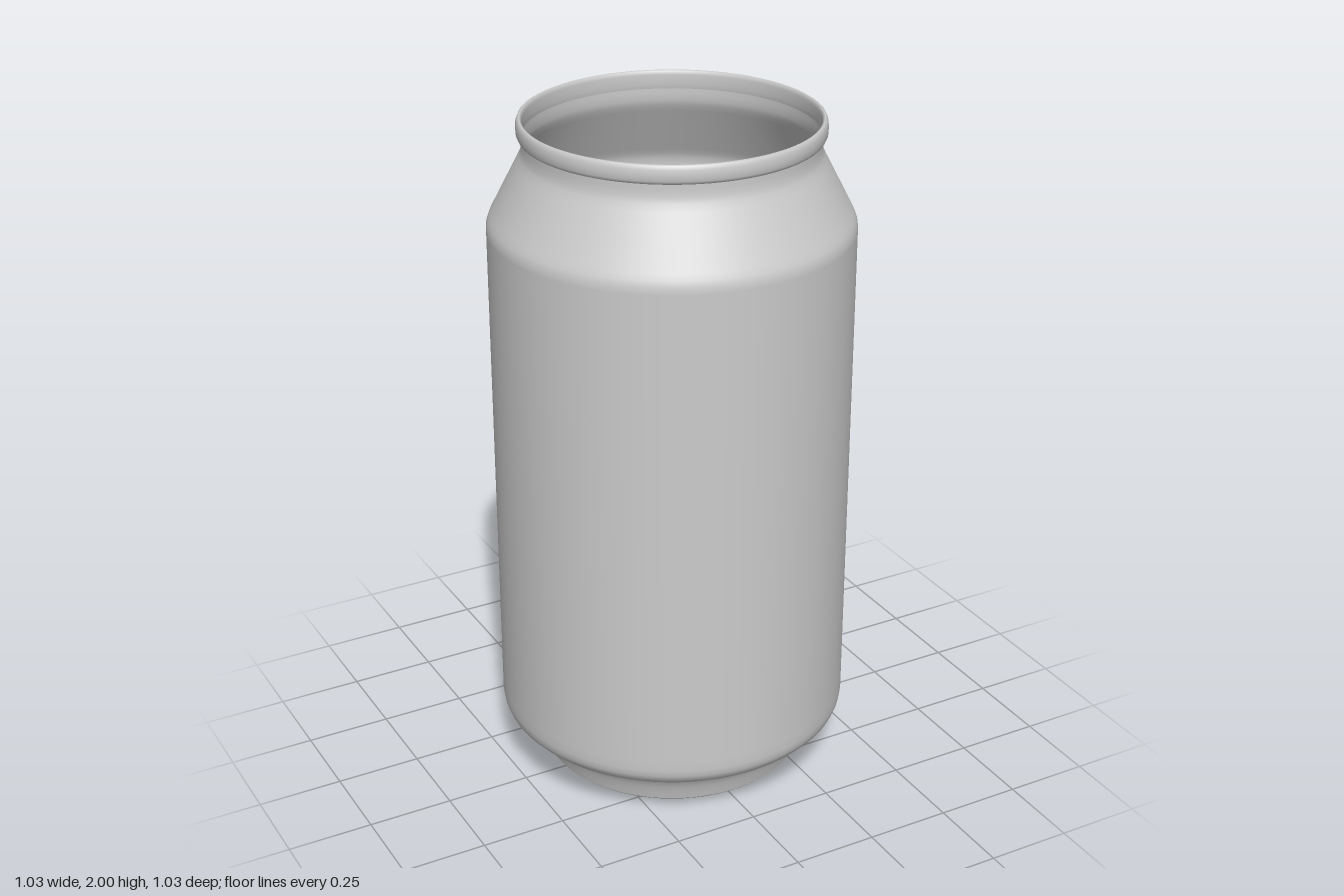
import * as THREE from 'three';

const SEGMENTS = 96;

// Spin a [radius, height] profile into a named thin shell
function spin(name, profile) {
  const points = profile.map(([r, y]) => new THREE.Vector2(r, y));
  const material = new THREE.MeshStandardMaterial({ color: 0xcccccc, side: THREE.DoubleSide });
  const mesh = new THREE.Mesh(new THREE.LatheGeometry(points, SEGMENTS), material);
  mesh.name = name;
  return mesh;
}

export function createModel() {
  const can = new THREE.Group();
  can.name = 'openCan';

  // Slightly domed bottom disc
  can.add(spin('base', [[0, 0], [0.13, 0.008], [0.26, 0.016], [0.37, 0.021], [0.383, 0.025], [0.388, 0.03]]));

  // Foot, curved chime, straight wall, sloping shoulder and neck
  can.add(spin('body', [
    [0.388, 0.03], [0.393, 0.05], [0.4, 0.075], [0.41, 0.1], [0.425, 0.12], [0.445, 0.133],
    [0.47, 0.144], [0.49, 0.157], [0.505, 0.173], [0.512, 0.19], [0.515, 0.21], [0.515, 0.24],
    [0.515, 1.68], [0.514, 1.7], [0.508, 1.717], [0.5, 1.733],
    [0.428, 1.873], [0.418, 1.893], [0.413, 1.91], [0.412, 1.93], [0.412, 1.945],
  ]));

  // Rolled lip around the opening
  can.add(spin('rim', [
    [0.412, 1.945], [0.421, 1.948], [0.425, 1.957], [0.426, 1.972], [0.425, 1.987],
    [0.421, 1.997], [0.416, 2], [0.411, 1.997], [0.409, 1.987], [0.409, 1.96], [0.412, 1.945],
  ]));

  return can;
}
